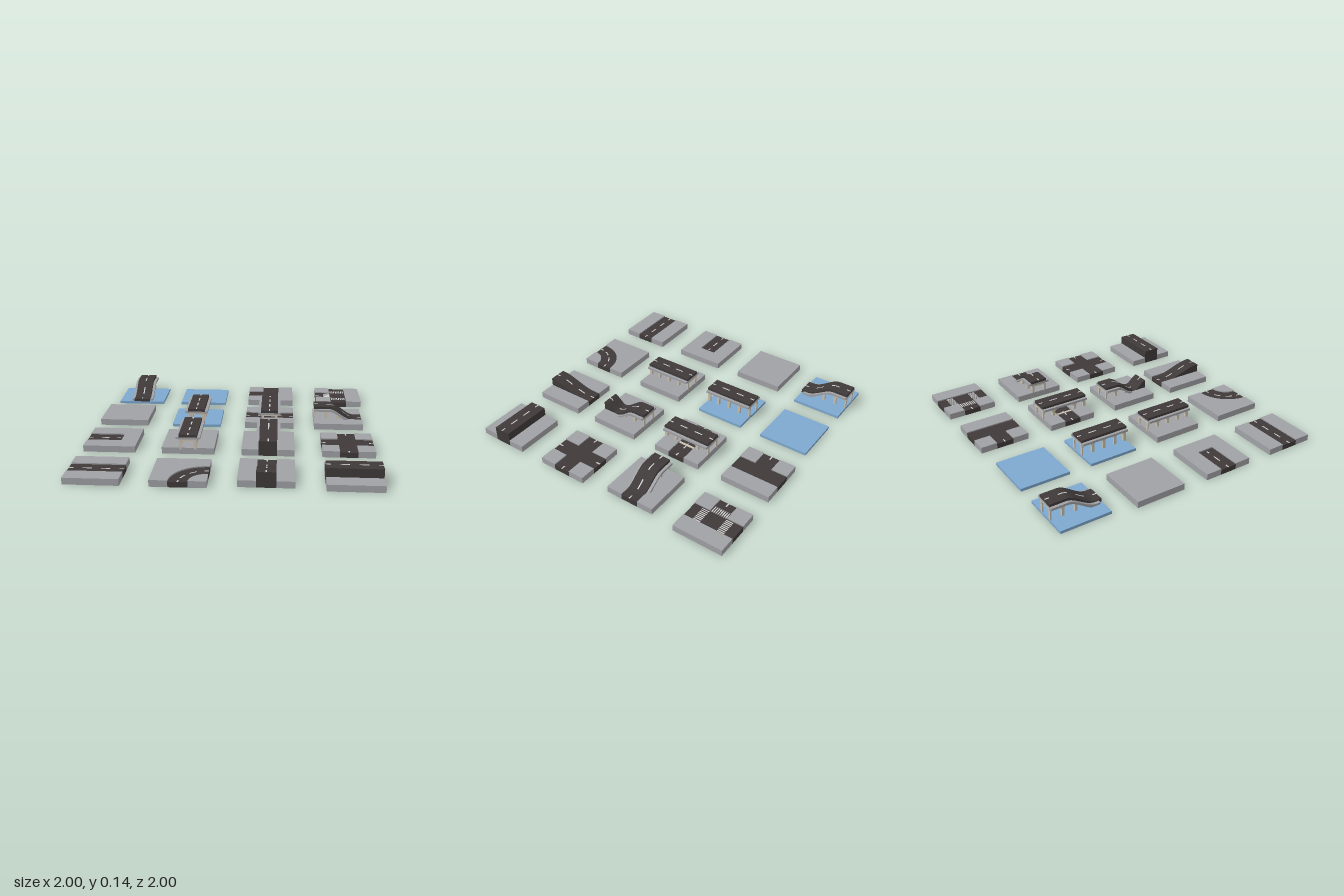
import * as THREE from 'three';

const mat = (color) => new THREE.MeshStandardMaterial({ color, side: THREE.DoubleSide });
const GREY = mat(0xa0a1a5), ASPHALT = mat(0x3f3a39), WATER = mat(0x7da9cf);
const WHITE = mat(0xdedede), STONE = mat(0xcbc2b0);

const HALF = 0.18, ROAD = 0.0625, GROUND = 0.045, ROAD_Y = 0.037, SEA = 0.02;
const HIGH = 0.14, MID = 0.105;
const EDGES = [-HALF, -ROAD, ROAD, HALF];

function add(group, name, geometry, material) {
  const mesh = new THREE.Mesh(geometry, material);
  mesh.name = name;
  group.add(mesh);
  return mesh;
}

function box(group, name, material, x0, x1, y0, y1, z0, z1) {
  const mesh = add(group, name, new THREE.BoxGeometry(x1 - x0, y1 - y0, z1 - z0), material);
  mesh.position.set((x0 + x1) / 2, (y0 + y1) / 2, (z0 + z1) / 2);
}

// turns a (z, y) side outline into a solid of the given width centred on x
function sideSolid(shape, width, x) {
  const geometry = new THREE.ExtrudeGeometry(shape, { depth: width, bevelEnabled: false });
  geometry.rotateY(-Math.PI / 2);
  geometry.translate(x + width / 2, 0, 0);
  return geometry;
}

// outline between two height rules over z0..z1
function outline(top, bottom, z0, z1, steps = 24) {
  const up = [], down = [];
  for (let i = 0; i <= steps; i++) {
    const z = z0 + ((z1 - z0) * i) / steps;
    up.push(new THREE.Vector2(z, top(z)));
    down.unshift(new THREE.Vector2(z, bottom(z)));
  }
  return new THREE.Shape(up.concat(down));
}

const flat = (y) => () => y;
const slope = (z0, y0, z1, y1) => (z) => y0 + (y1 - y0) * THREE.MathUtils.smoothstep(z, z0, z1);

function strip(group, name, material, top, bottom, z0, z1, width, x = 0) {
  add(group, name, sideSolid(outline(top, bottom, z0, z1), width, x), material);
}

// centre line painted along z, following the road height
const FULL = [[-0.18, -0.15], [-0.09, -0.03], [0.03, 0.09], [0.15, 0.18]];
function centreLine(group, height, marks = FULL) {
  for (const [a, b] of marks)
    strip(group, 'centreLine', WHITE, (z) => height(z) + 0.001, (z) => height(z) - 0.002, a, b, 0.009);
}

// base of 3 x 3 cells: g ground, R road, . left open
function base(group, rows) {
  rows.split('/').forEach((row, j) => [...row].forEach((cell, i) => {
    if (cell === '.') return;
    const road = cell === 'R';
    box(group, road ? 'road' : 'ground', road ? ASPHALT : GREY, EDGES[i], EDGES[i + 1],
      0, road ? ROAD_Y : GROUND, EDGES[j], EDGES[j + 1]);
  }));
}

const water = (group) => box(group, 'water', WATER, -HALF, HALF, 0, SEA, -HALF, HALF);

// sub-group whose z axis lies along x
function alongX(group) {
  const turned = new THREE.Group();
  turned.name = 'crossRoad';
  turned.rotation.y = Math.PI / 2;
  group.add(turned);
  return turned;
}

// arcade of two stone walls with arched openings, under a deck of any height rule
function arcade(group, height, floor, posts, zEnd) {
  const under = (z) => height(z) - 0.032;
  let end = zEnd;
  while (under(end) < floor + 0.004) end -= 0.005;
  for (const x of [-0.05, 0.05]) {
    const wall = outline(under, flat(floor - 0.012), -HALF, end, 40);
    for (let i = 0; i + 1 < posts.length; i++) {
      const a = posts[i] + 0.009, b = Math.min(posts[i + 1] - 0.009, end - 0.02);
      if (b - a < 0.02) continue;
      const points = [new THREE.Vector2(a, floor - 0.006)];
      for (let k = 0; k <= 14; k++) {
        const z = a + ((b - a) * k) / 14, u = (2 * k) / 14 - 1;
        const arch = HIGH - 0.07 + 0.03 * Math.sqrt(Math.max(0, 1 - u * u));
        points.push(new THREE.Vector2(z, Math.max(floor - 0.004, Math.min(arch, under(z) - 0.007))));
      }
      points.push(new THREE.Vector2(b, floor - 0.006));
      wall.holes.push(new THREE.Path(points));
    }
    add(group, 'archWall', sideSolid(wall, 0.018, x), STONE);
  }
  // cross beams joining each pair of posts
  for (const p of posts) {
    const z = THREE.MathUtils.clamp(p, -HALF + 0.006, HALF - 0.006);
    if (z < end && under(z) > floor + 0.03)
      box(group, 'crossBeam', STONE, -0.05, 0.05, under(z) - 0.012, under(z) + 0.002, z - 0.006, z + 0.006);
  }
}

const POSTS = [-0.18, -0.09, 0, 0.09, 0.18];

function bridge(group, floor, posts = POSTS) {
  const h = flat(HIGH);
  strip(group, 'roadway', ASPHALT, h, flat(HIGH - 0.02), -HALF, HALF, 2 * ROAD);
  strip(group, 'deck', GREY, flat(HIGH - 0.018), flat(HIGH - 0.034), -HALF, HALF, 0.166);
  arcade(group, h, floor, posts, HALF);
  centreLine(group, h);
}

// bridge end: high at -z, low at +z
function bridgeRamp(group, floor, h, deckEnd, footDepth) {
  strip(group, 'roadway', ASPHALT, h, (z) => h(z) - 0.02, -HALF, ROAD, 2 * ROAD);
  strip(group, 'rampFoot', ASPHALT, h, footDepth, ROAD, HALF, 2 * ROAD);
  strip(group, 'deck', GREY, (z) => h(z) - 0.018 + 0.018 * THREE.MathUtils.smoothstep(z, 0, deckEnd) * 0.6,
    (z) => Math.max(0.008, h(z) - 0.034), -HALF, deckEnd, 0.166);
  arcade(group, h, floor, POSTS, deckEnd);
  centreLine(group, h);
}

// ring sector around the +x +z corner, for the bend
function sector(group, name, material, r0, r1, a0, a1, y0, y1) {
  const shape = new THREE.Shape();
  shape.absarc(0, 0, r1, a0, a1, false);
  if (r0 > 0) shape.absarc(0, 0, r0, a1, a0, true);
  else shape.lineTo(0, 0);
  const geometry = new THREE.ExtrudeGeometry(shape, { depth: y1 - y0, bevelEnabled: false, curveSegments: 20 });
  geometry.rotateX(-Math.PI / 2);
  geometry.translate(HALF, y0, HALF);
  add(group, name, geometry, material);
}

function bend(group) {
  const inner = HALF - ROAD, outer = HALF + ROAD, q = Math.PI / 2;
  sector(group, 'innerGround', GREY, 0, inner, q, 2 * q, 0, GROUND);
  sector(group, 'road', ASPHALT, inner, outer, q, 2 * q, 0, ROAD_Y);
  const shape = new THREE.Shape();
  shape.moveTo(0, outer);
  shape.lineTo(0, 2 * HALF);
  shape.lineTo(-2 * HALF, 2 * HALF);
  shape.lineTo(-2 * HALF, 0);
  shape.lineTo(-outer, 0);
  shape.absarc(0, 0, outer, 2 * q, q, true);
  const geometry = new THREE.ExtrudeGeometry(shape, { depth: GROUND, bevelEnabled: false, curveSegments: 20 });
  geometry.rotateX(-Math.PI / 2);
  geometry.translate(HALF, 0, HALF);
  add(group, 'outerGround', geometry, GREY);
  for (const [a, b] of [[0, 0.1], [0.28, 0.46], [0.6, 0.78], [0.9, 1]])
    sector(group, 'centreLine', WHITE, HALF - 0.0045, HALF + 0.0045, q * (1 + a), q * (1 + b), ROAD_Y - 0.002, ROAD_Y + 0.001);
}

// zebra crossing with bars along z, centred at zc
function crossing(group, zc) {
  for (let i = 0; i < 8; i++) {
    const x = -0.051 + i * 0.0146;
    box(group, 'crossingBar', WHITE, x - 0.004, x + 0.004, ROAD_Y - 0.002, ROAD_Y + 0.001, zc - 0.026, zc + 0.026);
  }
}

const ENDS = [[-0.18, -0.15], [0.15, 0.18]];
const level = flat(ROAD_Y);

// name, centre x, centre z, builder
const TILES = [
  ['waterBridgeRamp', -0.78, -0.8, (g) => {
    water(g);
    const h = slope(-0.07, HIGH, 0.14, 0.042);
    bridgeRamp(g, SEA, h, 0.16, (z) => Math.max(0.01, h(z) - 0.03));
  }],
  ['waterTile', -0.275, -0.8, water],
  ['sideJunction', 0.27, -0.82, (g) => { base(g, 'gRg/RRg/gRg'); centreLine(alongX(g), level, [ENDS[0]]); }],
  ['crossingJunction', 0.82, -0.82, (g) => {
    base(g, 'gRg/RRg/gRg');
    const side = alongX(g);
    centreLine(side, level, [ENDS[0]]);
    crossing(g, -0.088);
    crossing(g, 0.088);
    crossing(side, -0.088);
  }],
  ['plainTile', -0.82, -0.275, (g) => base(g, 'ggg/ggg/ggg')],
  ['waterBridge', -0.275, -0.275, (g) => { water(g); bridge(g, SEA); }],
  ['overpass', 0.27, -0.275, (g) => {
    base(g, 'ggg/RRR/ggg');
    centreLine(alongX(g), level);
    bridge(g, GROUND, [-0.18, -0.09, 0.09, 0.18]);
  }],
  ['bridgeRamp', 0.785, -0.275, (g) => {
    const t = alongX(g);
    base(t, 'ggg/ggg/g.g');
    bridgeRamp(t, GROUND, slope(-0.07, HIGH, 0.13, 0.04), 0.115, flat(0));
  }],
  ['deadEnd', -0.82, 0.27, (g) => { base(g, 'ggg/RRg/ggg'); centreLine(alongX(g), level, FULL.slice(0, 2).concat([[0.02, 0.045]])); }],
  ['landBridge', -0.275, 0.27, (g) => { base(g, 'ggg/ggg/ggg'); bridge(g, GROUND); }],
  ['bridgeToBankRamp', 0.27, 0.27, (g) => {
    base(g, 'ggg/ggg/g.g');
    const down = slope(-0.09, HIGH, 0.09, 0.045), rise = slope(0.08, 0, 0.18, MID - 0.045);
    bridgeRamp(g, GROUND, (z) => down(z) + rise(z), 0.085, flat(0));
  }],
  ['crossroads', 0.82, 0.27, (g) => { base(g, 'gRg/RRR/gRg'); centreLine(g, level, ENDS); centreLine(alongX(g), level, ENDS); }],
  ['straightRoad', -0.82, 0.82, (g) => { base(g, 'ggg/RRR/ggg'); centreLine(alongX(g), level); }],
  ['bendRoad', -0.275, 0.82, bend],
  ['bankRamp', 0.27, 0.79, (g) => {
    base(g, 'g.g/g.g/g.g');
    const h = slope(-0.13, ROAD_Y, 0.17, MID);
    strip(g, 'rampRoad', ASPHALT, h, flat(0), -HALF, HALF, 2 * ROAD);
    centreLine(g, h);
  }],
  ['bankRoad', 0.82, 0.82, (g) => {
    base(g, 'ggg/.../ggg');
    const t = alongX(g);
    strip(t, 'raisedRoad', ASPHALT, flat(MID), flat(0), -HALF, HALF, 2 * ROAD);
    centreLine(t, flat(MID));
  }],
];

export function createModel() {
  const model = new THREE.Group();
  model.name = 'roadTileSet';
  for (const [name, x, z, build] of TILES) {
    const tile = new THREE.Group();
    tile.name = name;
    build(tile);
    tile.position.set(x, 0, z);
    model.add(tile);
  }
  return model;
}
